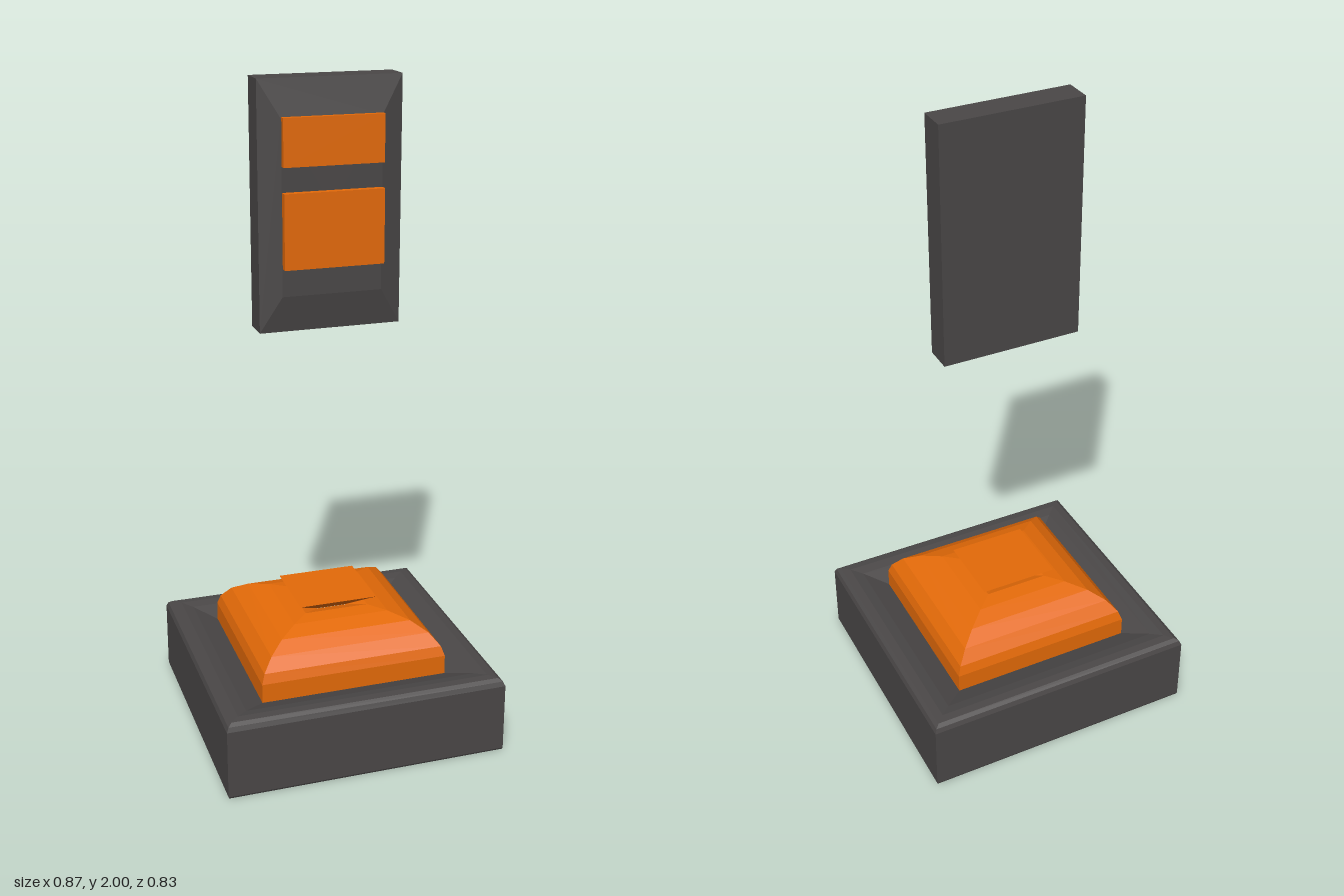
import * as THREE from 'three';

const dark = new THREE.MeshStandardMaterial({ color: 0x4a4747, flatShading: true });
const orange = new THREE.MeshStandardMaterial({ color: 0xe46a08, flatShading: true });

// Four-sided loft: profile of [half width, height], scaled per axis
function squareLoft(profile, sx, sz) {
  const pts = profile.map(([r, y]) => new THREE.Vector2(r * Math.SQRT2, y));
  return new THREE.LatheGeometry(pts, 4, Math.PI / 4).scale(sx, 1, sz);
}

export function createModel() {
  const model = new THREE.Group();
  const add = (name, geometry, material, x = 0, y = 0, z = 0) => {
    const mesh = new THREE.Mesh(geometry, material);
    mesh.name = name;
    mesh.position.set(x, y, z);
    model.add(mesh);
  };
  const depth = 0.963; // base is slightly shallower than wide

  // Plinth: softened rim, top dished down to the dome, shallow hollow underneath
  add('base', squareLoft([
    [0, 0.03], [0.23, 0.025], [0.36, 0.008], [0.43, 0], [0.433, 0.006], [0.433, 0.22],
    [0.427, 0.234], [0.415, 0.242], [0.39, 0.244], [0.357, 0.238], [0.28, 0.212],
  ], 1, depth), dark);

  // Square cushion dome, dipping at the middle of its top
  add('dome', squareLoft([
    [0.29, 0.205], [0.29, 0.275], [0.28, 0.305], [0.25, 0.342],
    [0.205, 0.37], [0.15, 0.386], [0.1, 0.392], [0.045, 0.374],
  ], 1, depth), orange);

  // Flared cap rising from the dip
  add('cap', squareLoft([
    [0.045, 0.374], [0.122, 0.424], [0, 0.424],
  ], 1, 0.945), orange);

  // Upright floating panel with a bevelled front
  const panel = squareLoft([
    [0, -0.077], [1, -0.077], [1, 0.009], [0.7, 0.029], [0, 0.029],
  ], 0.2145, 0.364).rotateX(Math.PI / 2);
  add('panel', panel, dark, 0.007, 1.636, 0);

  // Raised plates on the panel: bottom, top, front
  for (const [name, y0, y1, z1] of [
    ['upperPlate', 1.757, 1.895, 0.047],
    ['lowerPlate', 1.464, 1.684, 0.052],
  ]) {
    const z0 = 0.01;
    add(name, new THREE.BoxGeometry(0.3, y1 - y0, z1 - z0), orange, 0.008, (y0 + y1) / 2, (z0 + z1) / 2);
  }
  return model;
}
